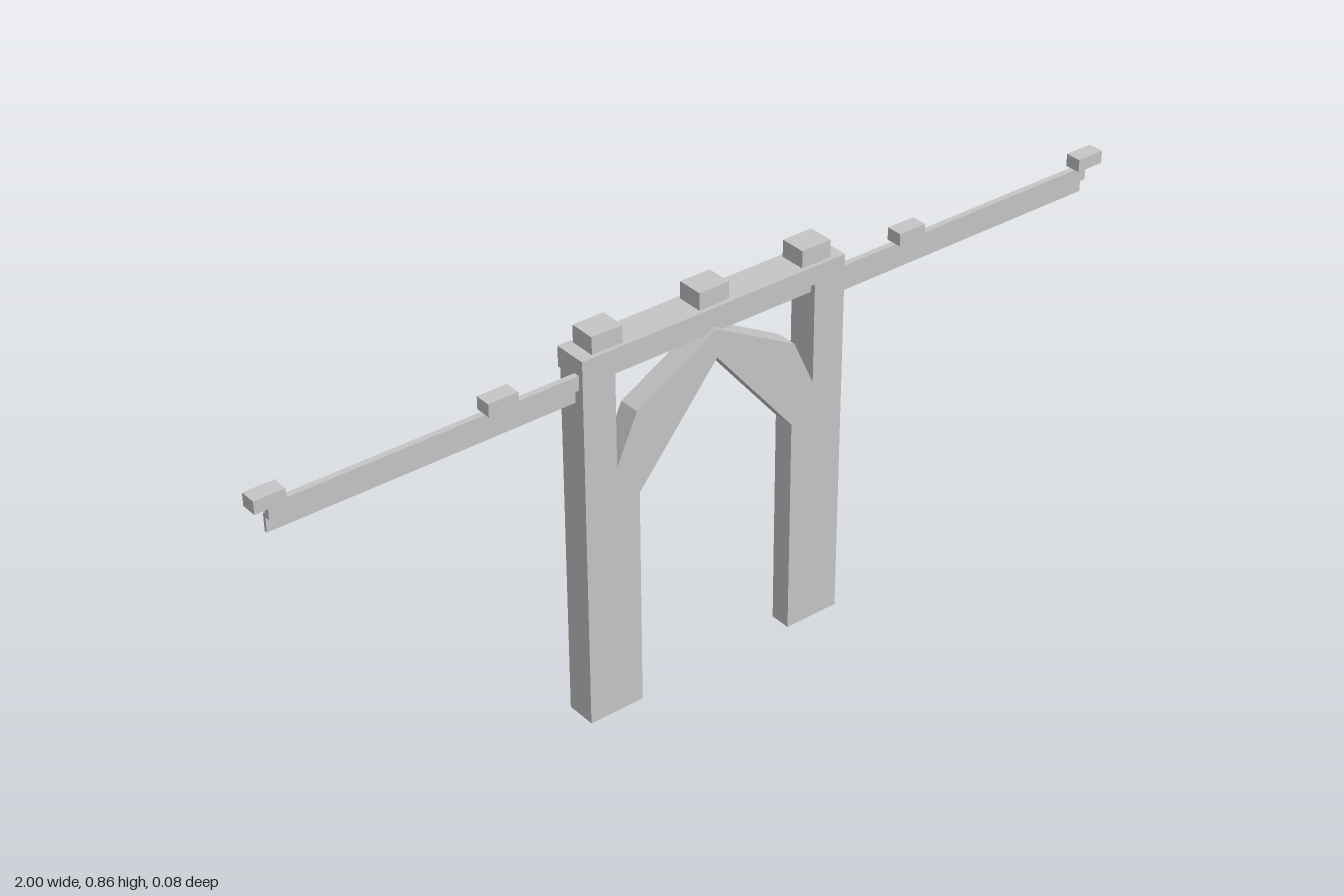
import * as THREE from 'three';

export function createModel() {
  const model = new THREE.Group();
  model.name = 'gateway';
  const stone = new THREE.MeshStandardMaterial({ color: 0xc5c5c5 });
  stone.name = 'light grey stone';

  const add = (name, geometry) => {
    const mesh = new THREE.Mesh(geometry, stone);
    mesh.name = name;
    model.add(mesh);
    return mesh;
  };
  // Box given by its extents on each axis
  const box = (name, x0, x1, y0, y1, z0, z1) => {
    const mesh = add(name, new THREE.BoxGeometry(x1 - x0, y1 - y0, z1 - z0));
    mesh.position.set((x0 + x1) / 2, (y0 + y1) / 2, (z0 + z1) / 2);
  };
  const toVectors = (points) => points.map(([x, y]) => new THREE.Vector2(x, y));
  // Outline continued by its mirror image about x = 0
  const mirrored = (points) => toVectors([
    ...points,
    ...points.filter(([x]) => x > 0).reverse().map(([x, y]) => [-x, y]),
  ]);
  const slab = (name, shape, z0, z1) => {
    const mesh = add(name, new THREE.ExtrudeGeometry(shape, { depth: z1 - z0, bevelEnabled: false }));
    mesh.position.z = z0;
  };

  const front = 0.042, back = -0.025, plateBack = -0.005;

  // Arched front wall with the opening above the braces
  const outer = [[0.238, 0], [0.238, 0.565], [0.19, 0.67], [0, 0.775]];
  const inner = [[0.186, 0], [0.186, 0.488], [0.14, 0.543], [0, 0.713]];
  const wall = new THREE.Shape(toVectors([
    [-0.312, 0], [-0.186, 0], [-0.186, 0.488], [0, 0.713], [0.186, 0.488], [0.186, 0],
    [0.312, 0], [0.312, 0.823], [-0.312, 0.823]]));
  wall.holes.push(new THREE.Path(mirrored([[0.238, 0.783], ...outer.slice(1)])));
  slab('archedWall', wall, plateBack, front);

  // Raised rib following the arch on the back
  const mix = (t) => outer.map(([x, y], i) => [x + (inner[i][0] - x) * t, y + (inner[i][1] - y) * t]);
  const ribOutline = [...mirrored(mix(0.3)), ...mirrored(mix(0.72)).reverse()];
  slab('archRib', new THREE.Shape(ribOutline), -0.013, plateBack);

  for (const s of [-1, 1]) {
    const span = (a, b) => (s > 0 ? [a, b] : [-b, -a]);
    // Posts with a narrow raised strip on the back
    box('post', ...span(0.238, 0.312), 0, 0.8, back, plateBack);
    box('postStrip', ...span(0.262, 0.288), 0.06, 0.768, -0.031, back);
    // Stepped side rail with its caps
    box('upperRail', ...span(0.25, 0.967), 0.758, 0.789, 0.018, 0.031);
    box('lowerRail', ...span(0.25, 0.967), 0.726, 0.765, 0.012, 0.019);
    box('railEndCap', ...span(0.936, 1), 0.789, 0.816, 0.007, 0.042);
    box('railMiddleCap', ...span(0.453, 0.518), 0.789, 0.816, 0.007, 0.042);
  }

  // Lintel, its back ledge and the beam under it
  box('lintel', -0.312, 0.312, 0.779, 0.823, -0.032, plateBack);
  box('lintelLedge', -0.298, 0.298, 0.782, 0.808, -0.042, -0.032);
  box('underBeam', -0.245, 0.245, 0.762, 0.79, -0.022, 0.031);

  // Blocks on top of the lintel
  for (const x of [-0.248, 0, 0.248]) box('topBlock', x - 0.035, x + 0.035, 0.823, 0.86, -0.024, 0.033);

  return model;
}
